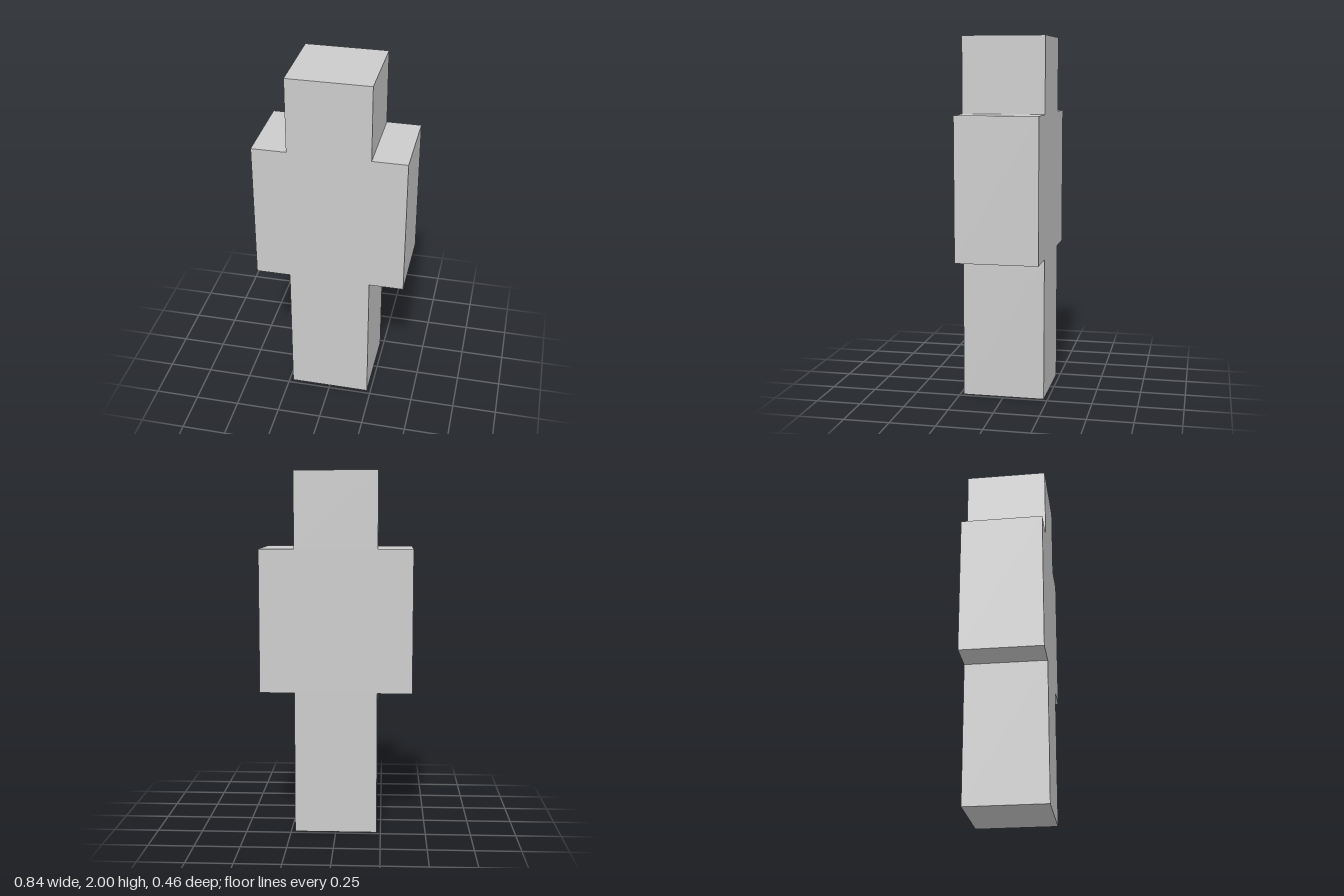
import * as THREE from 'three';

export function createModel() {
  const group = new THREE.Group();
  group.name = 'blockFigure';

  const core = 0.228;   // half width of head and legs
  const torso = 0.42;   // half width of torso with arms
  const depth = 0.456;
  const hip = 0.79, shoulder = 1.58, top = 2;

  // Right half of the outline, bottom to top, mirrored for the other half
  const half = [
    [core, 0], [core, hip], [torso, hip],
    [torso, shoulder], [core, shoulder], [core, top],
  ];
  const mirrored = half.map(([x, y]) => [-x, y]).reverse();
  const outline = new THREE.Shape(
    [...half, ...mirrored].map(([x, y]) => new THREE.Vector2(x, y))
  );

  // Legs, torso and head form one closed solid of constant depth
  const geometry = new THREE.ExtrudeGeometry(outline, { depth, bevelEnabled: false });
  geometry.translate(0, 0, -depth / 2);

  const body = new THREE.Mesh(
    geometry,
    new THREE.MeshStandardMaterial({ color: 0xcccccc, flatShading: true })
  );
  body.name = 'body';
  group.add(body);
  return group;
}
